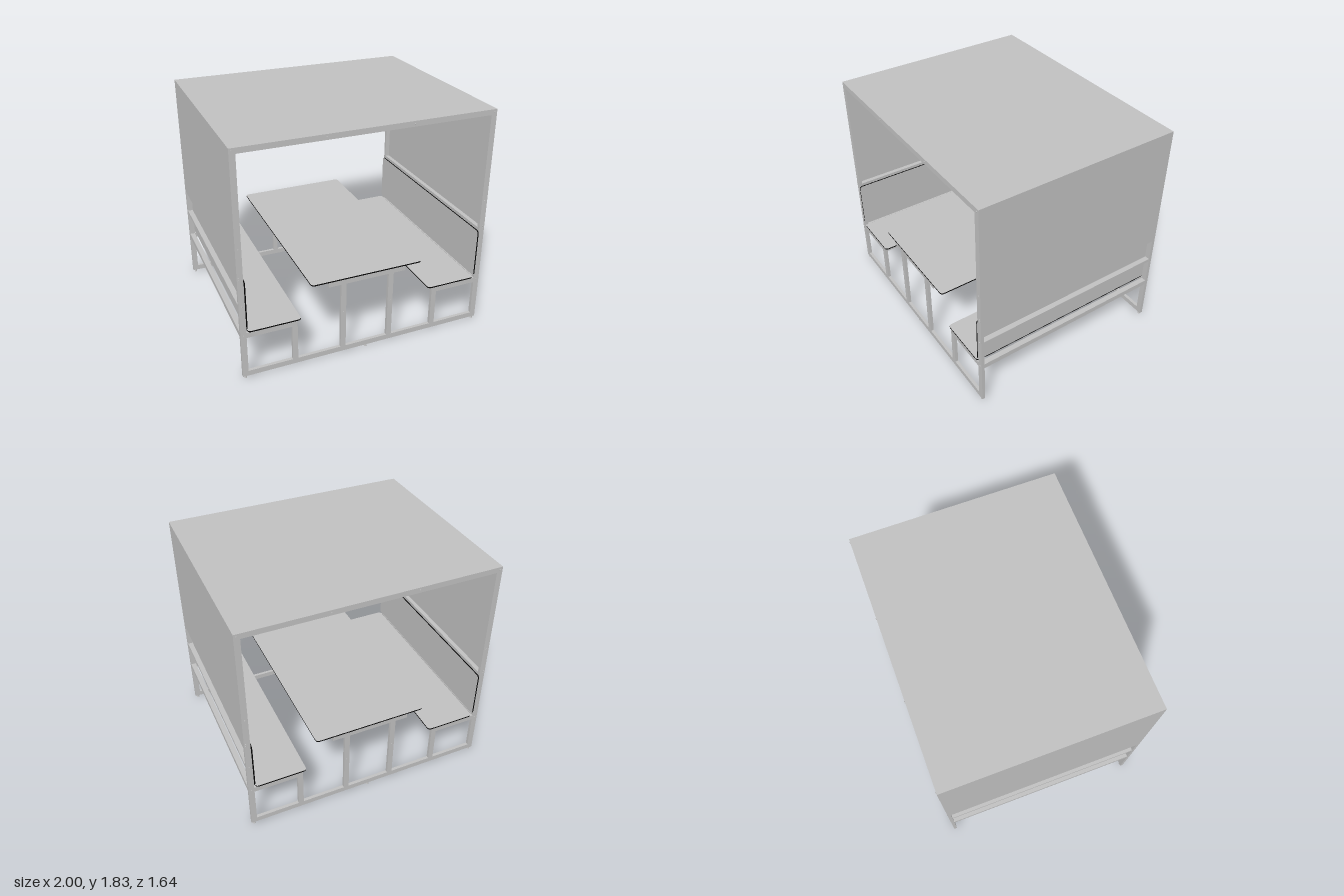
import * as THREE from 'three';

export function createModel() {
  const root = new THREE.Group();
  root.name = 'shelteredPicnicBooth';

  const grey = new THREE.MeshStandardMaterial({ color: 0xc0c0c0 });
  grey.name = 'light grey';
  const black = new THREE.MeshStandardMaterial({ color: 0x050505 });
  black.name = 'black board edge';

  // Box given by its lower and upper limits on each axis
  function box(parent, name, [x0, x1], [y0, y1], [z0, z1]) {
    const mesh = new THREE.Mesh(new THREE.BoxGeometry(x1 - x0, y1 - y0, z1 - z0), grey);
    mesh.position.set((x0 + x1) / 2, (y0 + y1) / 2, (z0 + z1) / 2);
    mesh.name = name;
    parent.add(mesh);
  }

  // Box whose x limits are mirrored for side = -1
  function sideBox(parent, name, side, [a, b], y, z) {
    box(parent, name, side > 0 ? [a, b] : [-b, -a], y, z);
  }

  // Thin laminate board with rounded corners and a black edge
  function board(name, width, length, x, y, upright) {
    const w = width / 2, l = length / 2, r = 0.025, t = 0.01;
    const s = new THREE.Shape();
    s.moveTo(-w + r, -l);
    s.lineTo(w - r, -l);
    s.absarc(w - r, -l + r, r, -Math.PI / 2, 0, false);
    s.absarc(w - r, l - r, r, 0, Math.PI / 2, false);
    s.absarc(-w + r, l - r, r, Math.PI / 2, Math.PI, false);
    s.absarc(-w + r, -l + r, r, Math.PI, Math.PI * 1.5, false);
    const geo = new THREE.ExtrudeGeometry(s, { depth: t, bevelEnabled: false, curveSegments: 6 });
    geo.translate(0, 0, -t / 2);
    geo.rotateX(-Math.PI / 2);
    if (upright) geo.rotateZ(Math.PI / 2);
    const mesh = new THREE.Mesh(geo, [grey, black]);
    mesh.position.set(x, y, 0);
    mesh.name = name;
    root.add(mesh);
  }

  // End frames, front and back
  const T = 0.045, Z0 = 0.79, Z1 = 0.815;
  for (const end of [1, -1]) {
    const frame = new THREE.Group();
    frame.name = end > 0 ? 'frontFrame' : 'backFrame';
    root.add(frame);
    const z = end > 0 ? [Z0, Z1] : [-Z1, -Z0];
    box(frame, 'bottomRail', [-1 + T, 1 - T], [0.02, 0.062], z);
    box(frame, 'topRail', [-1 + T, 1 - T], [1.783, 1.825], z);
    box(frame, 'tableSupport', [-0.317, 0.317], [0.627, 0.668], z);

    const bolts = [];
    for (const side of [1, -1]) {
      sideBox(frame, 'post', side, [1 - T, 1], [0.02, 1.825], z);
      sideBox(frame, 'seatArm', side, [0.565, 1 - T], [0.36, 0.402], z);
      sideBox(frame, 'seatLeg', side, [0.565, 0.607], [0.062, 0.36], z);
      sideBox(frame, 'tableLeg', side, [0.175, 0.217], [0.062, 0.627], z);
      for (const [x, y] of [[0.977, 0.38], [0.977, 0.63], [0.977, 1.09], [0.98, 1.803],
        [0.987, 0.85], [0.987, 0.868], [0.33, 1.803], [0.196, 0.38]]) bolts.push([side * x, y]);
    }
    for (const [x, y] of bolts) {
      const bolt = new THREE.Mesh(new THREE.CylinderGeometry(0.007, 0.007, 0.004, 10), grey);
      bolt.rotation.x = Math.PI / 2;
      bolt.position.set(x, y, end * (Z1 + 0.002));
      bolt.name = 'bolt';
      frame.add(bolt);
    }
    // Levelling feet
    for (const x of [-0.977, 0, 0.977]) {
      const foot = new THREE.Mesh(new THREE.CylinderGeometry(0.006, 0.011, 0.02, 12), grey);
      foot.position.set(x, 0.01, end * 0.802);
      foot.name = 'foot';
      frame.add(foot);
    }
  }

  // Roof sheet and its beams
  const span = [-Z0, Z0];
  box(root, 'roofPanel', [-1, 1], [1.817, 1.825], span);
  for (const x of [-0.33, 0.33]) {
    box(root, 'roofBeam', [x - 0.021, x + 0.021], [1.788, 1.817], span);
  }

  for (const side of [1, -1]) {
    // Side wall sheet with rails
    sideBox(root, 'wallPanel', side, [0.992, 1], [0.825, 1.817], span);
    sideBox(root, 'cornerBeam', side, [0.957, 0.992], [1.788, 1.817], span);
    sideBox(root, 'wallRail', side, [0.957, 0.992], [0.828, 0.853], span);
    sideBox(root, 'backrestRail', side, [0.957, 0.998], [0.612, 0.637], span);
    // Bench and table beams
    sideBox(root, 'seatRearBeam', side, [0.957, 0.998], [0.36, 0.402], span);
    sideBox(root, 'seatFrontBeam', side, [0.565, 0.607], [0.36, 0.402], span);
    sideBox(root, 'tableBeam', side, [0.175, 0.217], [0.627, 0.668], span);
    // Boards
    board('seat', 0.41, 1.635, side * 0.738, 0.408, false);
    board('backrest', 0.405, 1.635, side * 0.949, 0.628, true);
  }
  board('tableTop', 0.905, 1.64, 0, 0.674, false);

  return root;
}
